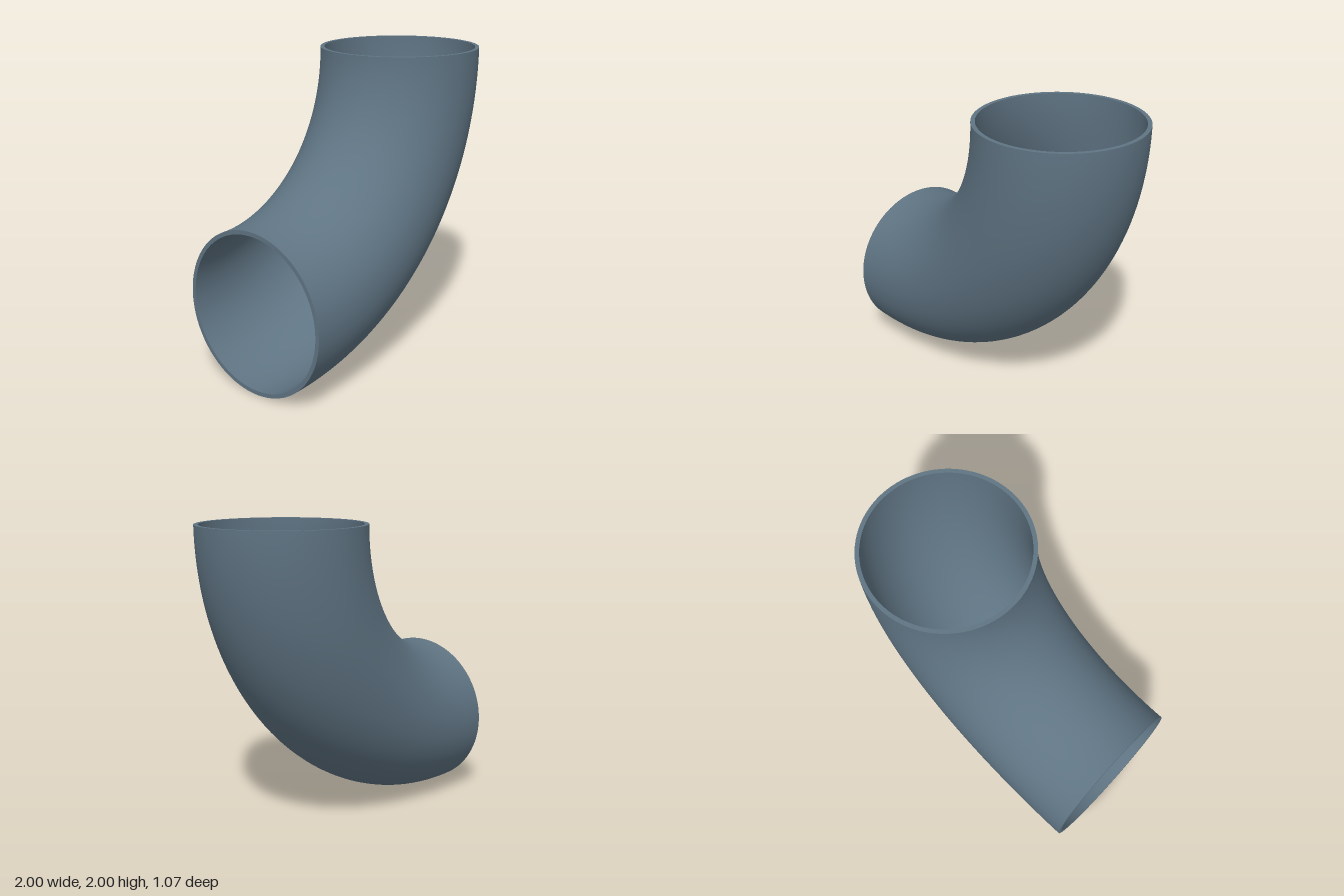
import * as THREE from 'three';

const BEND = 1.467;    // bend radius of the centre line
const OUTER = 0.533;   // outer pipe radius
const INNER = 0.506;   // bore radius
const SIDES = 96;
const STEPS = 72;

export function createModel() {
  const elbow = new THREE.Group();
  elbow.name = 'pipeElbow';
  const material = new THREE.MeshStandardMaterial({ color: 0x5f7483 });

  const add = (name, geometry) => {
    const mesh = new THREE.Mesh(geometry, material);
    mesh.name = name;
    elbow.add(mesh);
  };

  // Quarter bend running from the side opening up to the top opening
  const bend = (radius) =>
    new THREE.TorusGeometry(BEND, radius, SIDES, STEPS, Math.PI / 2).rotateZ(-Math.PI / 2);

  add('outerWall', bend(OUTER));

  // Bore: the same bend turned inside out
  const bore = bend(INNER);
  bore.index.array.reverse();
  const normals = bore.attributes.normal;
  for (let i = 0; i < normals.count; i++) {
    normals.setXYZ(i, -normals.getX(i), -normals.getY(i), -normals.getZ(i));
  }
  add('innerWall', bore);

  // Flat rims closing the wall thickness at both openings
  const rim = () => new THREE.RingGeometry(INNER, OUTER, SIDES);
  add('topRim', rim().rotateX(-Math.PI / 2).translate(BEND, 0, 0));
  add('sideRim', rim().rotateY(-Math.PI / 2).translate(0, -BEND, 0));

  // Bend centre sits at the upper corner of the bounds
  elbow.position.set(-1, 2, 0);

  const model = new THREE.Group();
  model.name = 'model';
  model.add(elbow);
  return model;
}
